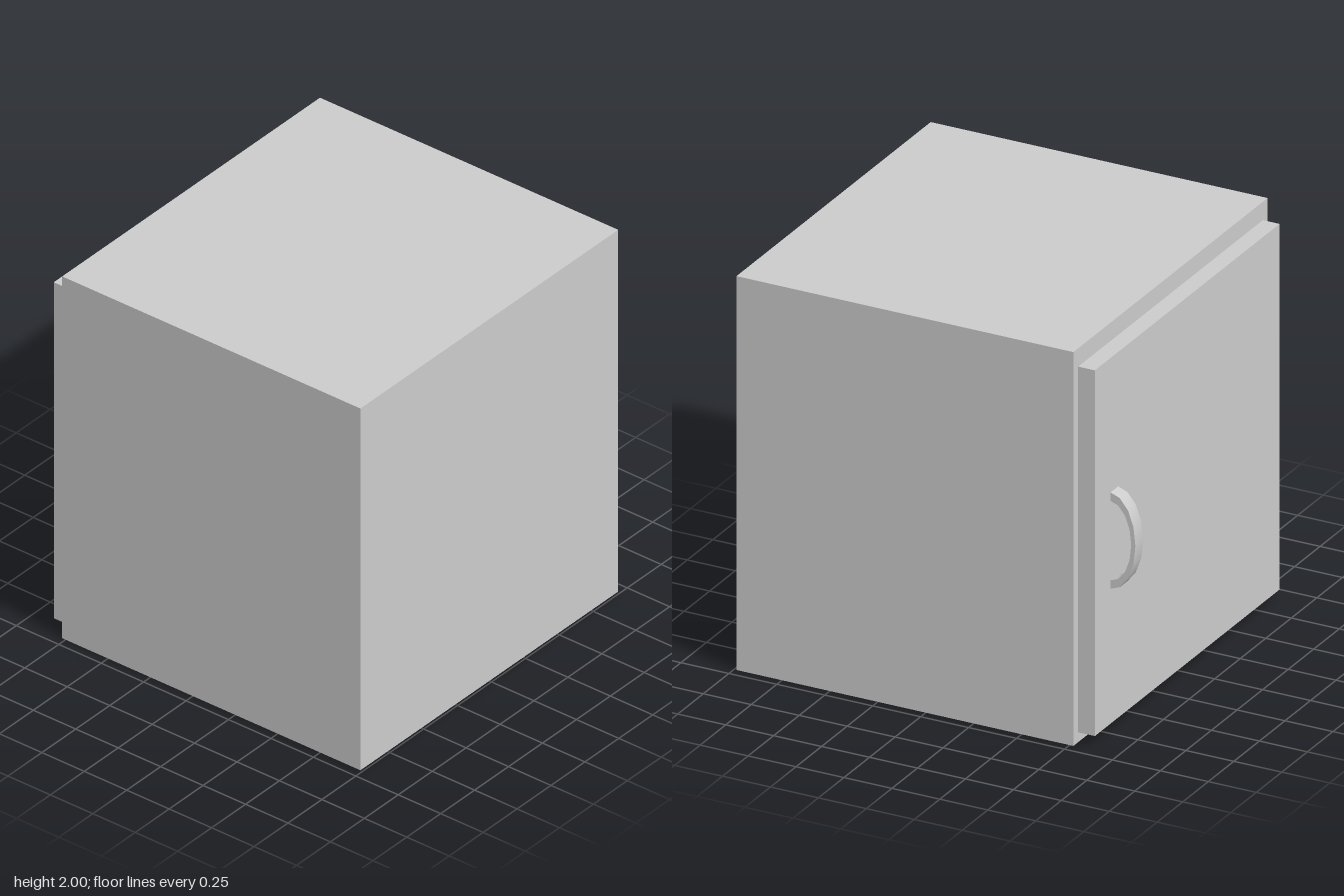
import * as THREE from 'three';
import { toCreasedNormals } from 'three/addons/utils/BufferGeometryUtils.js';

const material = new THREE.MeshStandardMaterial({ color: 0xcccccc });

// Box given by its minimum and maximum corners
function box(name, [x0, y0, z0], [x1, y1, z1]) {
  const mesh = new THREE.Mesh(new THREE.BoxGeometry(x1 - x0, y1 - y0, z1 - z0), material);
  mesh.position.set((x0 + x1) / 2, (y0 + y1) / 2, (z0 + z1) / 2);
  mesh.name = name;
  return mesh;
}

// Half-ellipse bow: depth along x, height along y, extruded to the grip width
function makeHandle() {
  const segments = 8, width = 0.075;
  const arc = (depth, height) => Array.from({ length: segments + 1 }, (_, i) => {
    const a = -Math.PI / 2 + (Math.PI * i) / segments;
    return new THREE.Vector2(depth * Math.cos(a), height * Math.sin(a));
  });
  const shape = new THREE.Shape([...arc(0.132, 0.245), ...arc(0.11, 0.202).reverse()]);
  const bow = new THREE.ExtrudeGeometry(shape, { depth: width, bevelEnabled: false });
  bow.translate(0, 0, -width / 2).rotateY(Math.PI / 2); // bow outwards to -z
  const mesh = new THREE.Mesh(toCreasedNormals(bow, Math.PI / 4), material);
  mesh.position.set(0.713, 0.98, -0.855);
  mesh.name = 'handle';
  return mesh;
}

export function createModel() {
  const group = new THREE.Group();
  group.name = 'cabinet';
  group.add(
    box('cabinetBody', [-0.95, 0, -0.77], [0.95, 2, 0.987]),
    box('door', [-0.903, 0.05, -0.857], [0.903, 1.907, -0.77]),
    makeHandle(),
  );
  return group;
}
